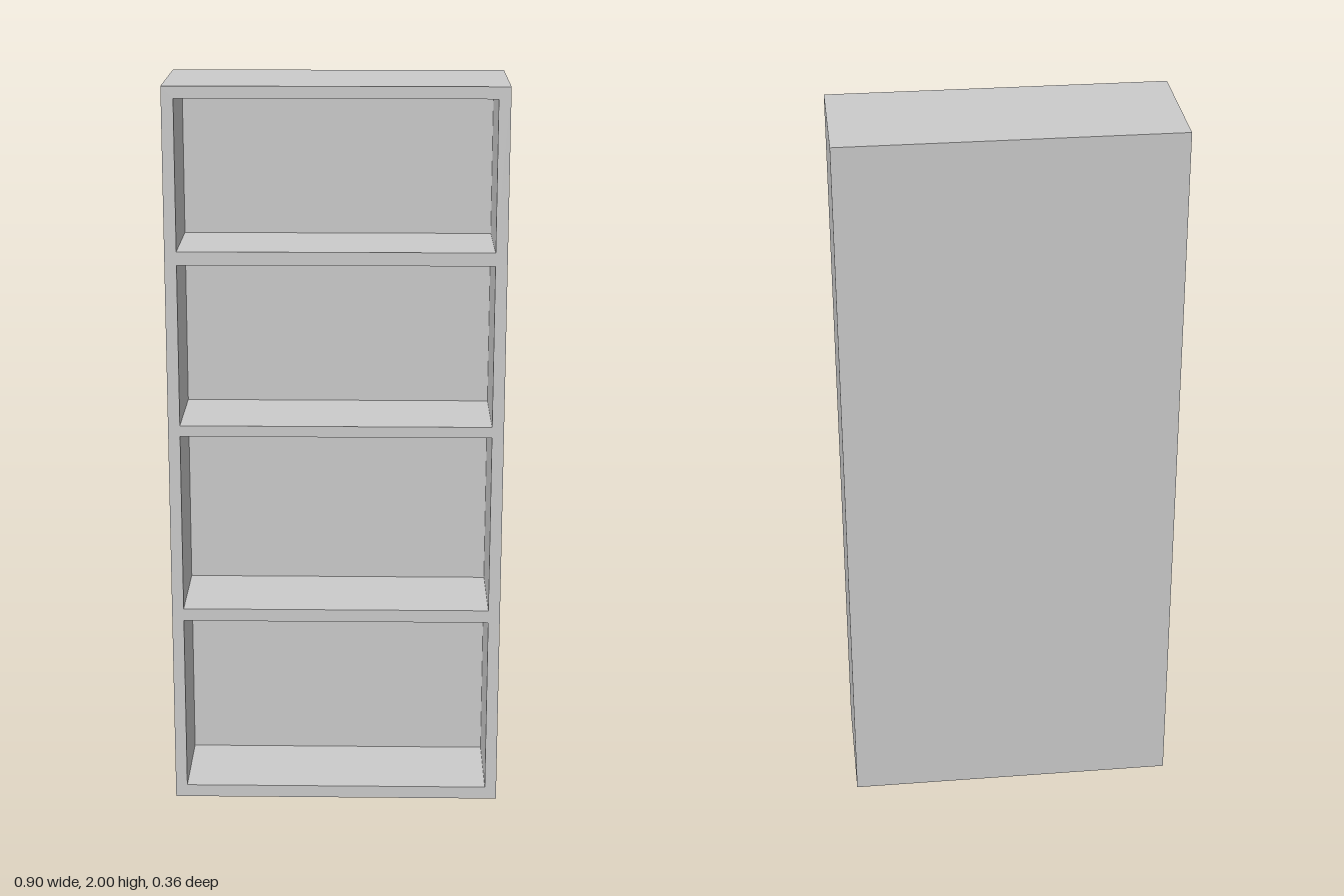
import * as THREE from 'three';

const HALF_W = 0.452, HEIGHT = 2, HALF_D = 0.181;
const INNER_X = 0.42, BACK_Z = -0.09;
// bottom and top of each compartment
const BAYS = [[0.035, 0.53], [0.565, 1.06], [1.09, 1.53], [1.566, 1.968]];

function rect(path, x, y0, y1) {
  path.moveTo(-x, y0);
  path.lineTo(x, y0);
  path.lineTo(x, y1);
  path.lineTo(-x, y1);
  path.closePath();
  return path;
}

export function createModel() {
  const group = new THREE.Group();
  group.name = 'bookcase';
  const material = new THREE.MeshStandardMaterial({ color: 0xcccccc, flatShading: true });

  // sides, top, base and shelves, flush at the front
  const outline = rect(new THREE.Shape(), HALF_W, 0, HEIGHT);
  for (const [y0, y1] of BAYS) outline.holes.push(rect(new THREE.Path(), INNER_X, y0, y1));
  const frame = new THREE.Mesh(
    new THREE.ExtrudeGeometry(outline, { depth: HALF_D - BACK_Z, bevelEnabled: false }), material);
  frame.name = 'frameAndShelves';
  frame.position.z = BACK_Z;
  group.add(frame);

  // thick back closing the compartments
  const depth = BACK_Z + HALF_D;
  const back = new THREE.Mesh(new THREE.BoxGeometry(HALF_W * 2, HEIGHT, depth), material);
  back.name = 'backPanel';
  back.position.set(0, HEIGHT / 2, BACK_Z - depth / 2);
  group.add(back);

  return group;
}
